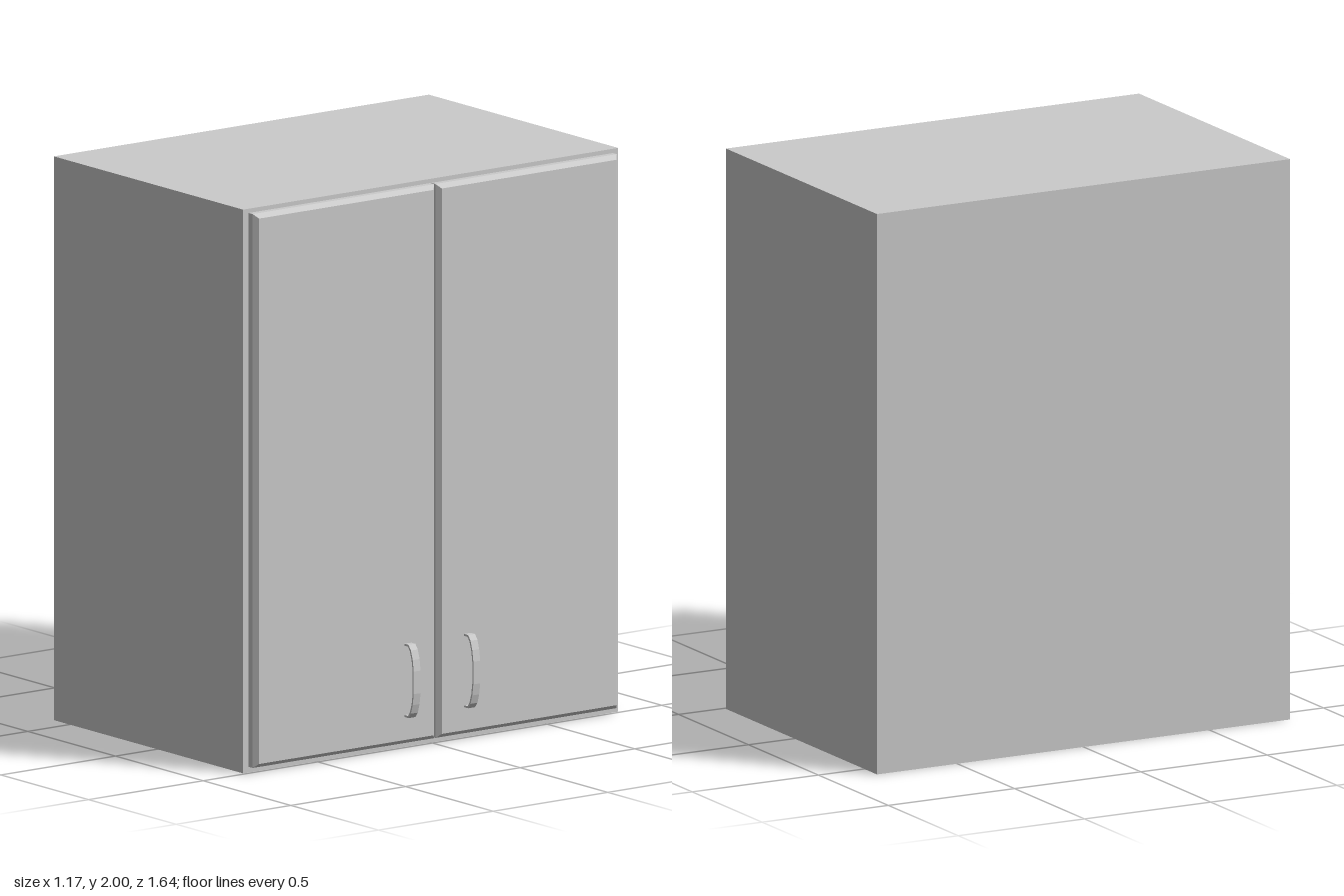
import * as THREE from 'three';

const material = new THREE.MeshStandardMaterial({ color: 0xcccccc, flatShading: true });

function addMesh(parent, name, geometry) {
  const mesh = new THREE.Mesh(geometry, material);
  mesh.name = name;
  parent.add(mesh);
  return mesh;
}

// Door slab facing +x, its front edges chamfered all round
function doorGeometry(height, width) {
  const back = 0.488, shoulder = 0.513, front = 0.53, inset = 0.015;
  const geo = new THREE.BoxGeometry(2, height, width, 2, 1, 1).toNonIndexed();
  const p = geo.attributes.position;
  for (let i = 0; i < p.count; i++) {
    const layer = Math.round(p.getX(i));
    p.setX(i, layer < 0 ? back : layer === 0 ? shoulder : front);
    if (layer > 0) {
      p.setY(i, p.getY(i) - Math.sign(p.getY(i)) * inset);
      p.setZ(i, p.getZ(i) - Math.sign(p.getZ(i)) * inset);
    }
  }
  geo.computeVertexNormals();
  return geo;
}

// Flat bow-shaped strip bulging towards +x, centred on y = 0 and z = 0
function handleGeometry(width) {
  const half = [[0.528, 0.13], [0.553, 0.13], [0.567, 0.112], [0.577, 0.08], [0.583, 0.04]];
  const inner = [[0.528, 0.123], [0.55, 0.123], [0.561, 0.108], [0.571, 0.077], [0.577, 0.038]];
  const mirror = pts => pts.map(([x, y]) => [x, -y]).reverse();
  const outline = [...half, ...mirror(half), ...inner.map(([x, y]) => [x, -y]), ...mirror(inner).map(([x, y]) => [x, -y])];
  const shape = new THREE.Shape(outline.map(([x, y]) => new THREE.Vector2(x, y)));
  return new THREE.ExtrudeGeometry(shape, { depth: width, bevelEnabled: false })
    .translate(0, 0, -width / 2);
}

export function createModel() {
  const group = new THREE.Group();
  group.name = 'wallCabinet';

  // Closed carcass
  addMesh(group, 'carcass', new THREE.BoxGeometry(1.08, 2, 1.636)).position.set(-0.05, 1, 0);

  // Pair of doors meeting in the middle, each with a handle low by the gap
  const door = doorGeometry(1.965, 0.791);
  const handle = handleGeometry(0.03);
  for (const [side, z] of [['left', 1], ['right', -1]]) {
    addMesh(group, side + 'Door', door).position.set(0, 1.0025, z * 0.3985);
    addMesh(group, side + 'Handle', handle).position.set(0, 0.247, z * 0.13);
  }
  return group;
}
